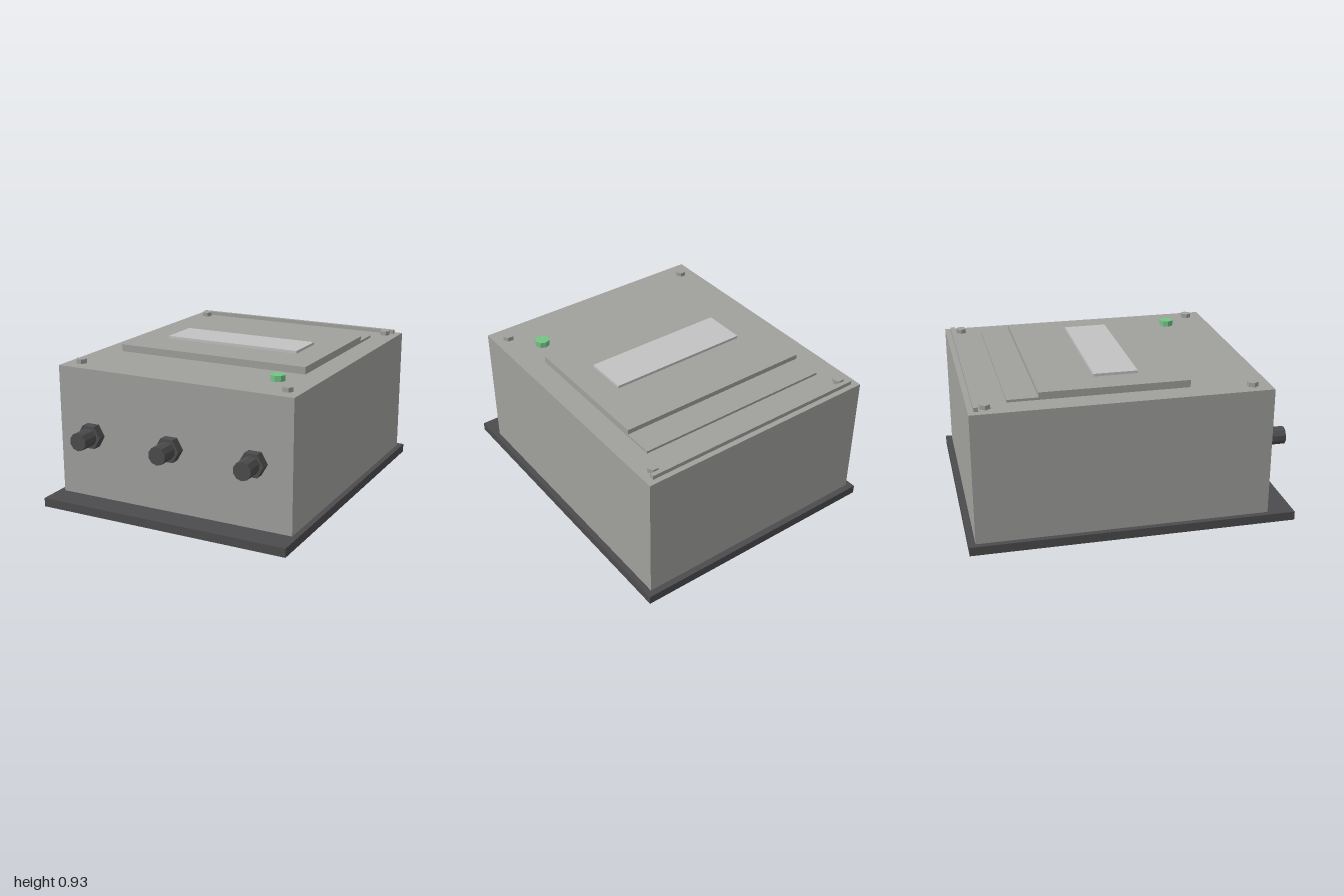
import * as THREE from 'three';

const mat = (name, color) => {
  const m = new THREE.MeshStandardMaterial({ color, flatShading: true });
  m.name = name;
  return m;
};

export function createModel() {
  const group = new THREE.Group();
  const grey = mat('housingGrey', 0xa0a09d);
  const dark = mat('darkGrey', 0x4c4c4e);
  const pale = mat('paleGrey', 0xc2c2c2);
  const green = mat('indicatorGreen', 0x74c384);

  const add = (name, geometry, material) => {
    const mesh = new THREE.Mesh(geometry, material);
    mesh.name = name;
    group.add(mesh);
    return mesh;
  };

  // Box centred on x, given by its y and z ranges
  const box = (name, material, width, y0, y1, z0, z1) =>
    add(name, new THREE.BoxGeometry(width, y1 - y0, z1 - z0), material)
      .position.set(0, (y0 + y1) / 2, (z0 + z1) / 2);

  // Upright prism standing on the lid
  const stud = (name, material, r, sides, turn, x, z, y0, y1) => {
    const g = new THREE.CylinderGeometry(r, r, y1 - y0, sides).rotateY(turn);
    add(name, g, material).position.set(x, (y0 + y1) / 2, z);
  };

  // Prism pointing out of the front wall
  const plug = (name, r, sides, turn, x, z0, z1) => {
    const g = new THREE.CylinderGeometry(r, r, z1 - z0, sides).rotateY(turn).rotateX(Math.PI / 2);
    add(name, g, dark).position.set(x, 0.457, (z0 + z1) / 2);
  };

  // Base plate and housing
  box('basePlate', dark, 1.63, 0, 0.055, -1, 1);
  box('housing', grey, 1.56, 0.055, 0.865, -0.96, 0.835);

  // Raised panels, label and rear hinge strip on the lid
  box('mainPanel', grey, 1.27, 0.865, 0.91, -0.545, 0.36);
  box('rearPanel', grey, 1.27, 0.865, 0.88, -0.73, -0.545);
  box('labelPlate', pale, 0.91, 0.91, 0.927, -0.185, 0.085);
  box('hingeStrip', grey, 1.47, 0.865, 0.89, -0.927, -0.9);

  // Corner screws
  for (const x of [-0.69, 0.69])
    for (const z of [-0.86, 0.725])
      stud('lidScrew', grey, 0.035, 6, Math.PI / 6, x, z, 0.865, 0.892);

  // Indicator lamp
  stud('indicatorLamp', green, 0.046, 8, 0, 0.545, 0.543, 0.865, 0.901);

  // Cable glands: hexagonal nut and round stem
  for (const x of [-0.545, 0, 0.545]) {
    plug('glandNut', 0.08, 6, Math.PI / 6, x, 0.835, 0.89);
    plug('glandStem', 0.056, 10, 0, x, 0.89, 1);
  }
  return group;
}
